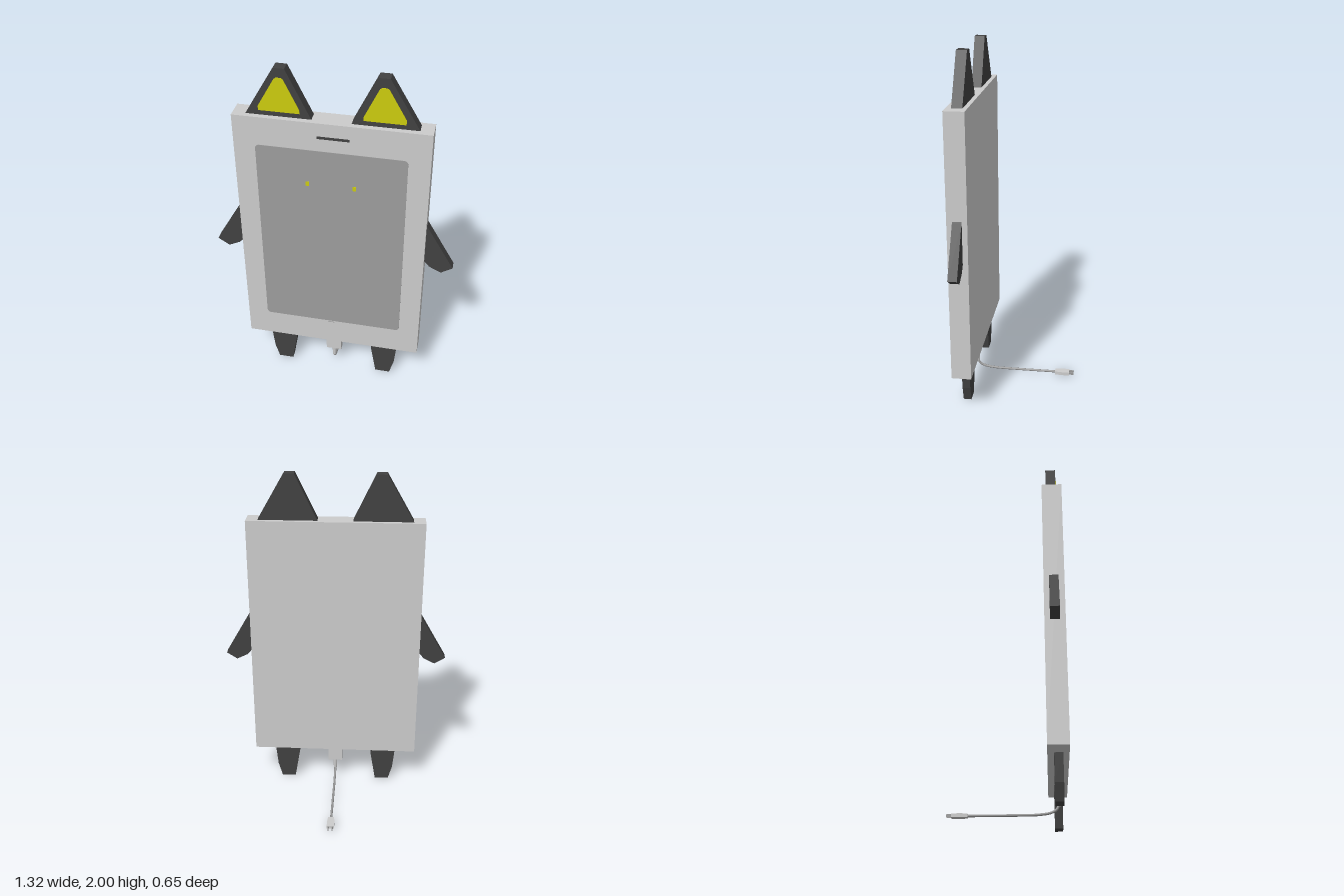
import * as THREE from 'three';

const CX = -0.005; // mirror plane of the body

const mat = (name, color) => {
  const m = new THREE.MeshStandardMaterial({ color });
  m.name = name;
  return m;
};

// Prism from an outline of [x, y] points, between two depths
function prism(points, z0, z1) {
  const shape = new THREE.Shape(points.map(([x, y]) => new THREE.Vector2(x, y)));
  const g = new THREE.ExtrudeGeometry(shape, { depth: z1 - z0, bevelEnabled: false });
  return g.translate(0, 0, z0);
}

function roundedRect(x0, y0, x1, y1, r) {
  const s = new THREE.Shape();
  s.absarc(x1 - r, y1 - r, r, 0, Math.PI / 2);
  s.absarc(x0 + r, y1 - r, r, Math.PI / 2, Math.PI);
  s.absarc(x0 + r, y0 + r, r, Math.PI, Math.PI * 1.5);
  s.absarc(x1 - r, y0 + r, r, Math.PI * 1.5, Math.PI * 2);
  return s;
}

export function createModel() {
  const root = new THREE.Group();
  root.name = 'tabletCreature';
  const shell = mat('shellGrey', 0xcccccc);
  const screen = mat('screenGrey', 0x9d9d9d);
  const dark = mat('charcoal', 0x414141);
  const yellow = mat('yellow', 0xcccc0e);
  const cableGrey = mat('cableGrey', 0x9a9a9a);

  const add = (name, geometry, material, parent = root) => {
    const m = new THREE.Mesh(geometry, material);
    m.name = name;
    parent.add(m);
    return m;
  };
  const box = (name, w, h, d, x, y, z, material) =>
    add(name, new THREE.BoxGeometry(w, h, d).translate(x, y, z), material);

  // Slab body with its screen, speaker slot and button mark
  box('body', 1.012, 1.502, 0.11, CX, 0.985, 0.266, shell);
  const panel = new THREE.ExtrudeGeometry(roundedRect(-0.397, 0.4, 0.388, 1.575, 0.022),
    { depth: 0.003, bevelEnabled: false, curveSegments: 6 });
  add('screen', panel.translate(0, 0, 0.32), screen);
  box('speakerSlot', 0.165, 0.014, 0.003, 0.008, 1.655, 0.3215, dark);
  box('buttonMark', 0.04, 0.004, 0.002, -0.012, 0.39, 0.321, screen);

  // Outlines for the +x side, measured from the mirror plane
  const ear = [[0.1, 1.734], [0.44, 1.734], [0.285, 2], [0.228, 2]];
  const innerEar = [[0.16, 1.762], [0.37, 1.762], [0.372, 1.785], [0.283, 1.942],
    [0.272, 1.95], [0.247, 1.95], [0.236, 1.942], [0.16, 1.782]];
  const arm = [[0.49, 1.18], [0.49, 0.94], [0.535, 0.887], [0.6, 0.855], [0.662, 0.895], [0.511, 1.155]];
  const foot = [[0.225, 0.24], [0.23, 0.18], [0.26, 0], [0.345, 0], [0.37, 0.09], [0.385, 0.24]];

  // Ears, arms, feet and eyes, mirrored left and right
  for (const [side, s] of [['left', 1], ['right', -1]]) {
    const flip = pts => pts.map(([x, y]) => [CX + s * x, y]);
    add(side + 'Ear', prism(flip(ear), 0.235, 0.292), dark);
    add(side + 'InnerEar', prism(flip(innerEar), 0.291, 0.295), yellow);
    add(side + 'Arm', prism(flip(arm), 0.24, 0.29), dark);
    add(side + 'Foot', prism(flip(foot), 0.245, 0.29), dark);
    box(side + 'Eye', 0.018, 0.026, 0.003, CX + s * 0.123, 1.37, 0.3235, yellow);
  }

  // Charging connector under the body
  box('connector', 0.09, 0.11, 0.036, CX, 0.183, 0.266, shell);
  add('strainRelief', new THREE.CylinderGeometry(0.013, 0.01, 0.07, 10)
    .translate(CX, 0.095, 0.266), shell);

  // Cable dropping down and trailing behind
  const path = new THREE.CatmullRomCurve3([
    [0.266, 0.13], [0.266, 0.075], [0.256, 0.045], [0.225, 0.027],
    [0.16, 0.017], [0.05, 0.015], [-0.215, 0.015],
  ].map(([z, y]) => new THREE.Vector3(CX, y, z)));
  add('cable', new THREE.TubeGeometry(path, 40, 0.007, 8), cableGrey);

  // Wall plug: tapered body and two prongs
  const plug = new THREE.Group();
  plug.name = 'wallPlug';
  root.add(plug);
  const outline = new THREE.Shape([[-0.017, 0.212], [0.017, 0.212], [0.022, 0.25],
    [0.022, 0.298], [-0.022, 0.298], [-0.022, 0.25]].map(([x, y]) => new THREE.Vector2(x, y)));
  const plugBody = new THREE.ExtrudeGeometry(outline, { depth: 0.02, bevelEnabled: false });
  add('plugBody', plugBody.rotateX(-Math.PI / 2).translate(CX, 0.005, 0), shell, plug);
  for (const s of [-1, 1]) {
    add('prong', new THREE.BoxGeometry(0.006, 0.014, 0.03)
      .translate(CX + s * 0.012, 0.015, -0.31), cableGrey, plug);
  }
  return root;
}
